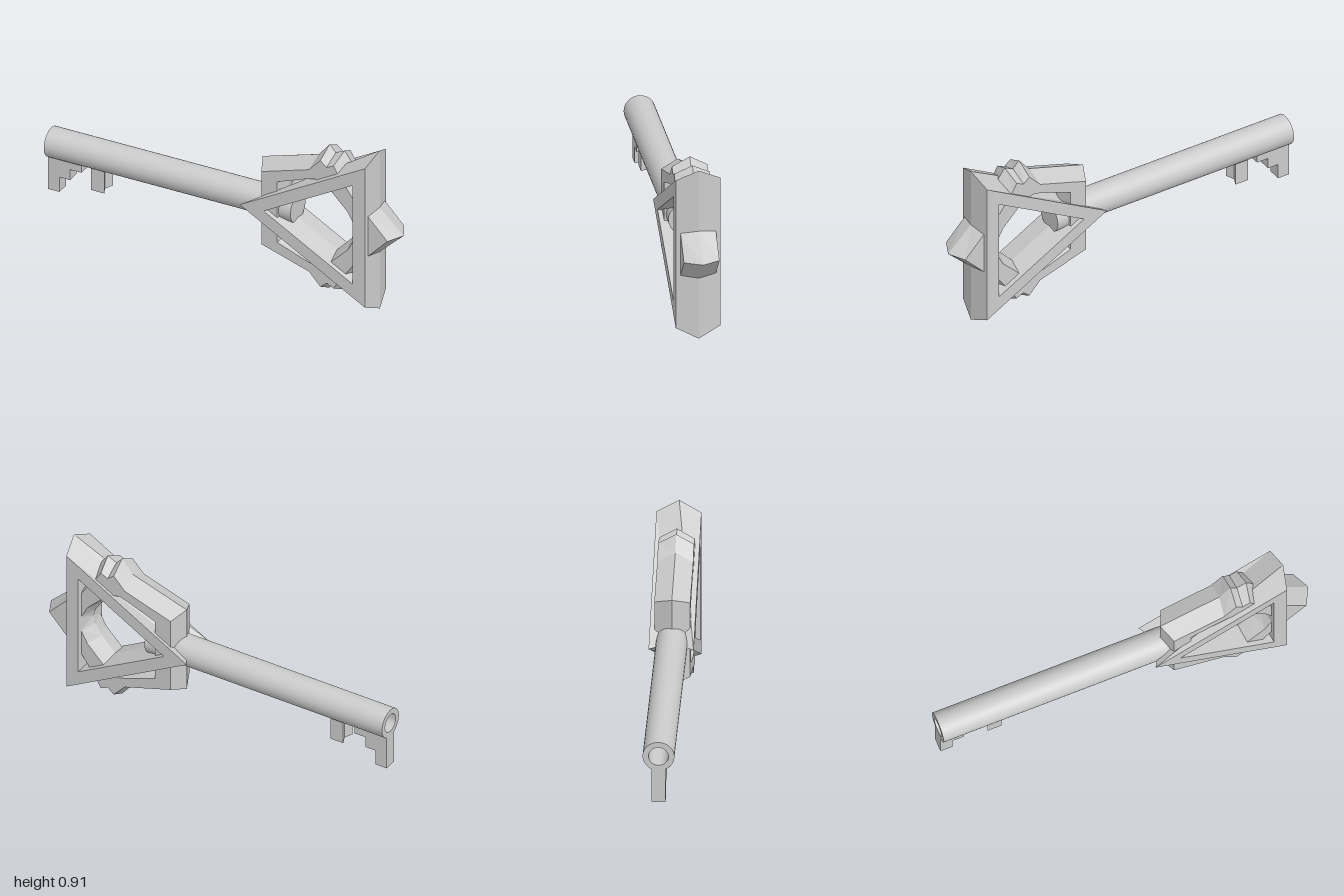
import * as THREE from 'three';
import { toCreasedNormals } from 'three/addons/utils/BufferGeometryUtils.js';

const CY = 0.458; // height of the key's axis

const material = (flatShading) => new THREE.MeshStandardMaterial({ color: 0xcccccc, flatShading });

function addMesh(parent, name, geometry, flat = true) {
  const mesh = new THREE.Mesh(geometry, material(flat));
  mesh.name = name;
  parent.add(mesh);
  return mesh;
}

// Completes a clockwise upper half outline by mirroring it below the axis.
function mirrored(half) {
  const lower = half.filter(([, y]) => y !== 0).reverse().map(([x, y]) => [x, -y]);
  return [...half, ...lower];
}

// Closed ring with a ridge on its outer and inner walls:
// face outlines lie at z = +-depth, ridge outlines at z = 0.
function ridgedRing(outerFace, outerRidge, innerRidge, innerFace, depth) {
  const rings = [
    [outerFace, depth], [outerRidge, 0], [outerFace, -depth],
    [innerFace, -depth], [innerRidge, 0], [innerFace, depth],
  ].map(([half, z]) => mirrored(half).map(([x, y]) => [x, y + CY, z]));
  const n = rings[0].length;
  const index = [];
  for (let k = 0; k < 6; k++) {
    for (let i = 0; i < n; i++) {
      const j = (i + 1) % n, next = ((k + 1) % 6) * n;
      const a = k * n + i, b = k * n + j, c = next + j, d = next + i;
      index.push(a, b, c, a, c, d);
    }
  }
  const g = new THREE.BufferGeometry();
  g.setAttribute('position', new THREE.Float32BufferAttribute(rings.flat(2), 3));
  g.setIndex(index);
  const flat = g.toNonIndexed();
  flat.computeVertexNormals();
  return flat;
}

function extrude(points, depth) {
  const shape = new THREE.Shape(points.map(([x, y]) => new THREE.Vector2(x, y)));
  return new THREE.ExtrudeGeometry(shape, { depth, bevelEnabled: false });
}

export function createModel() {
  const key = new THREE.Group();
  key.name = 'key';

  // Round shaft with a bore in its open end
  const profile = [[0, -0.7], [0.05, -0.7], [0.05, -1], [0.08, -1], [0.08, 0.4], [0, 0.4]];
  const lathe = new THREE.LatheGeometry(profile.map(([r, h]) => new THREE.Vector2(r, h)), 32);
  const shaft = addMesh(key, 'shaft', toCreasedNormals(lathe, 0.6), false);
  shaft.rotation.z = -Math.PI / 2;
  shaft.position.y = CY;

  // Stepped bit at the tip
  const stepped = addMesh(key, 'steppedBit', extrude([
    [-1, 0.2], [-0.935, 0.2], [-0.935, 0.285], [-0.875, 0.285],
    [-0.875, 0.345], [-0.81, 0.345], [-0.81, 0.4], [-1, 0.4],
  ], 0.07));
  stepped.position.z = -0.035;

  // Second bit, waisted when seen from below
  const waisted = addMesh(key, 'waistedBit', extrude([
    [-0.75, -0.045], [-0.675, -0.045], [-0.695, 0],
    [-0.675, 0.045], [-0.75, 0.045], [-0.73, 0],
  ], 0.14));
  waisted.rotation.x = -Math.PI / 2;
  waisted.position.y = 0.267;

  // Notched bow with a pointed end
  addMesh(key, 'bow', ridgedRing(
    [[0.24, 0.21], [0.51, 0.295], [0.575, 0.365], [0.61, 0.335], [0.65, 0.355],
      [0.67, 0.32], [0.78, 0.165], [0.85, 0.11], [0.955, 0]],
    [[0.2, 0.243], [0.52, 0.342], [0.58, 0.415], [0.615, 0.377], [0.665, 0.402],
      [0.695, 0.36], [0.8, 0.19], [0.865, 0.128], [1, 0]],
    [[0.35, 0.15], [0.5, 0.215], [0.545, 0.225], [0.57, 0.22], [0.59, 0.21],
      [0.61, 0.195], [0.7, 0.1], [0.74, 0.04], [0.75, 0]],
    [[0.33, 0.175], [0.49, 0.235], [0.54, 0.25], [0.57, 0.245], [0.6, 0.235],
      [0.63, 0.21], [0.73, 0.11], [0.765, 0.045], [0.775, 0]],
    0.09));

  // Triangular frame around the bow
  addMesh(key, 'triangleFrame', ridgedRing(
    [[0.13, 0], [0.84, 0.402]],
    [[0.2, 0], [0.865, 0.457]],
    [[0.3, 0], [0.75, 0.255]],
    [[0.265, 0], [0.77, 0.285]],
    0.113));

  return key;
}
